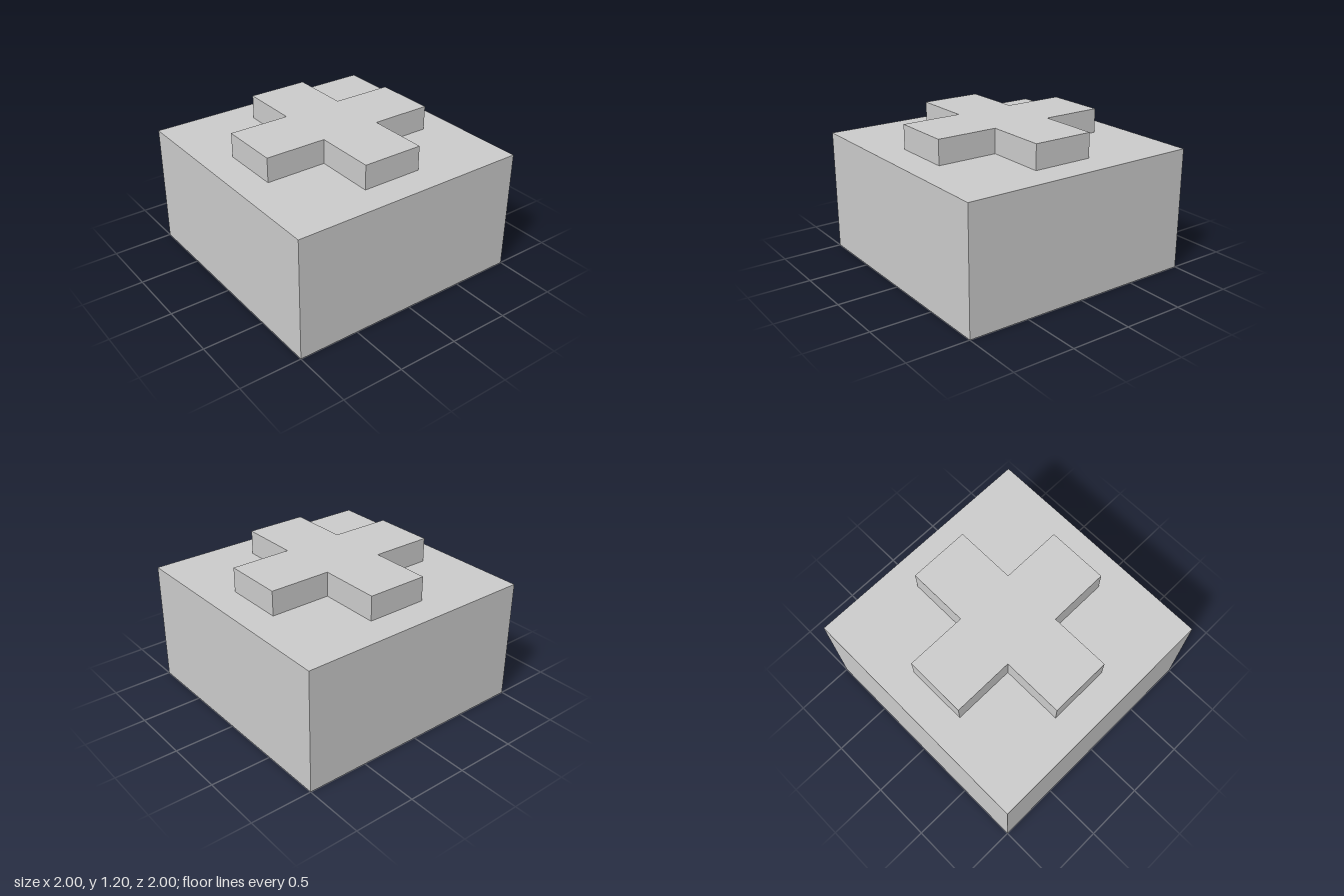
import * as THREE from 'three';

export function createModel() {
  const group = new THREE.Group();
  group.name = 'blockWithCross';
  const material = new THREE.MeshStandardMaterial({ color: 0xcccccc, flatShading: true });

  // Square base block
  const base = new THREE.Mesh(new THREE.BoxGeometry(2, 1, 2), material);
  base.name = 'baseBlock';
  base.position.y = 0.5;
  group.add(base);

  // Raised cross: one arm outline repeated in four quarter turns
  const arm = 0.75, half = 0.25;
  const points = [];
  for (let i = 0; i < 4; i++) {
    const turn = (i * Math.PI) / 2;
    for (const [x, y] of [[arm, -half], [arm, half], [half, half]]) {
      points.push(new THREE.Vector2(x, y).rotateAround(new THREE.Vector2(), turn));
    }
  }
  const crossGeometry = new THREE.ExtrudeGeometry(new THREE.Shape(points), {
    depth: 0.2,
    bevelEnabled: false,
  });
  crossGeometry.rotateX(-Math.PI / 2);
  const cross = new THREE.Mesh(crossGeometry, material);
  cross.name = 'raisedCross';
  cross.position.y = 1;
  group.add(cross);

  return group;
}
